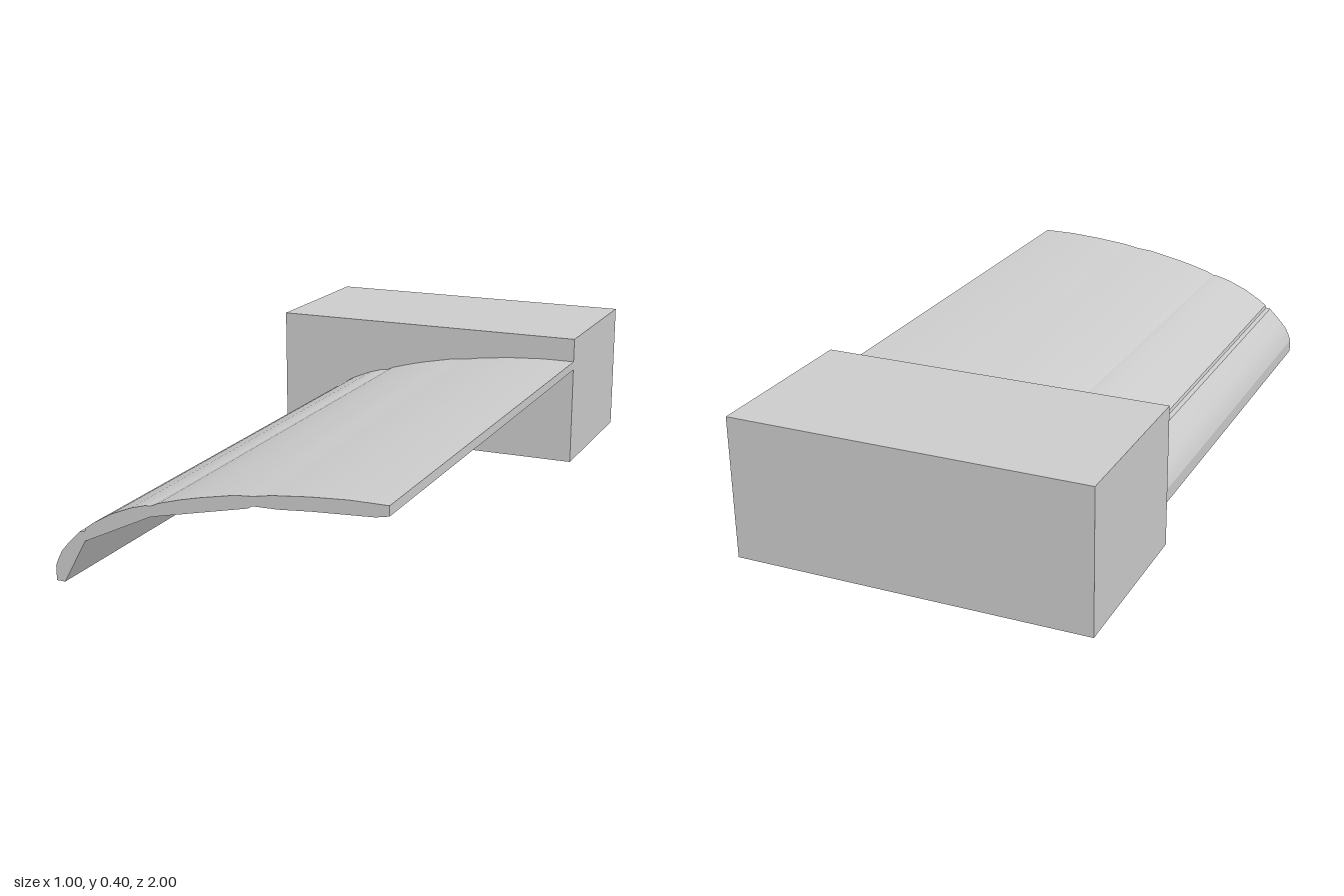
import * as THREE from 'three';
import { toCreasedNormals } from 'three/addons/utils/BufferGeometryUtils.js';

export function createModel() {
  const group = new THREE.Group();
  const material = new THREE.MeshStandardMaterial({ color: 0xcccccc });

  const add = (name, geometry, z) => {
    const mesh = new THREE.Mesh(geometry, material);
    mesh.name = name;
    mesh.position.z = z;
    group.add(mesh);
    return mesh;
  };

  // Solid block at the back
  add('endBlock', new THREE.BoxGeometry(1, 0.4, 0.503), -0.7485).position.y = 0.2;

  // Curved upper skin, with small steps where the panels meet
  const outer = [
    [-0.42, 0], [-0.42, 0.04], [-0.412, 0.06], [-0.4, 0.083], [-0.38, 0.106],
    [-0.342, 0.144], [-0.328, 0.146], [-0.325, 0.155], [-0.3, 0.173],
    [-0.25, 0.202], [-0.19, 0.227], [-0.148, 0.239], [-0.132, 0.24],
    [-0.11, 0.25], [-0.05, 0.267], [0, 0.279], [0.1, 0.299], [0.15, 0.303],
    [0.2, 0.312], [0.3, 0.322], [0.4, 0.328], [0.5, 0.328],
  ];
  // Underside made of flat panels
  const inner = [
    [0.5, 0.302], [0.465, 0.295], [0.3, 0.286], [0.215, 0.279], [0.148, 0.278],
    [0.137, 0.271], [-0.118, 0.215], [-0.135, 0.211], [-0.318, 0.124],
    [-0.328, 0.12], [-0.395, 0],
  ];
  const section = new THREE.Shape([...outer, ...inner].map(([x, y]) => new THREE.Vector2(x, y)));
  const shell = new THREE.ExtrudeGeometry(section, { depth: 1.5, bevelEnabled: false });
  add('archedShell', toCreasedNormals(shell, 0.35), -0.5);

  return group;
}
